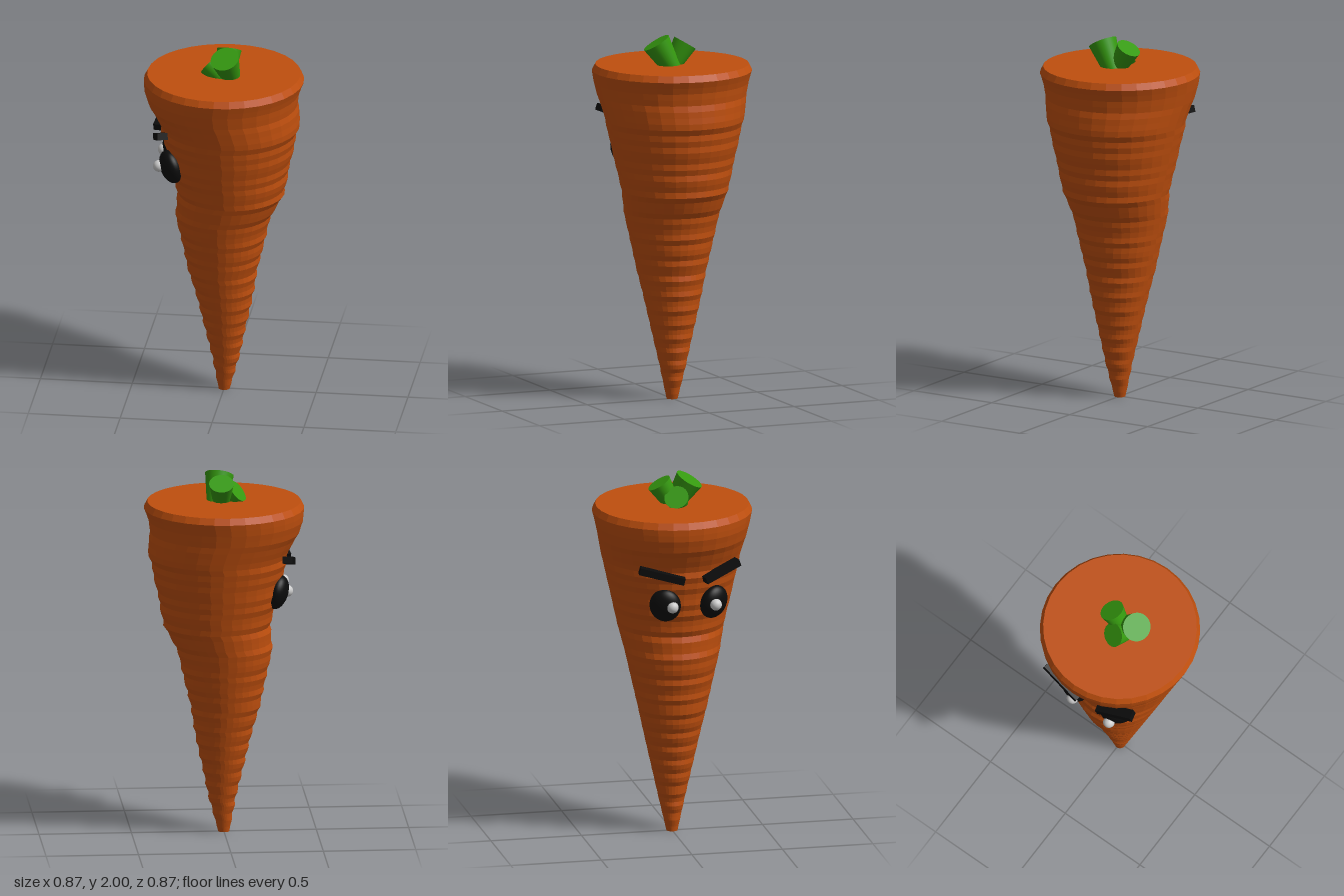
import * as THREE from 'three';

const orange = new THREE.MeshStandardMaterial({ color: 0xbf4f0e, flatShading: true });
const green = new THREE.MeshStandardMaterial({ color: 0x35990f });
const black = new THREE.MeshStandardMaterial({ color: 0x0c0c0c });
const white = new THREE.MeshStandardMaterial({ color: 0xdddddd });
const V = (x, y, z) => new THREE.Vector3(x, y, z);

// Sideways drift of the root's rings: [height, x shift]
const drift = [
  [0, 0], [0.2, 0.009], [0.36, 0.005], [0.5, 0.004], [0.6, 0], [0.705, -0.009],
  [0.785, -0.006], [0.92, -0.005], [1.0, -0.007], [1.08, 0.015], [1.145, 0.036],
  [1.24, 0.036], [1.315, 0.028], [1.395, 0.033], [1.5, 0.025], [1.545, 0.037],
  [1.56, 0.03], [1.62, 0.014], [1.66, -0.004], [1.74, -0.012], [1.8, -0.001], [1.84, -0.001],
];

function shiftAt(y) {
  const i = Math.max(1, drift.findIndex(([h]) => h >= y));
  const [y0, a] = drift[i - 1], [y1, b] = drift[i];
  const base = a + (b - a) * (y - y0) / (y1 - y0);
  // Fine ripple that fades toward the top and the tip
  const ripple = 0.005 * Math.sin(y * 78) * Math.min(1, y * 8) * Math.max(0, Math.min(1, (1.75 - y) * 2));
  return base + ripple;
}

function mesh(name, geometry, material, parent) {
  const m = new THREE.Mesh(geometry, material);
  m.name = name;
  parent.add(m);
  return m;
}

// Straight cone whose rings are shifted sideways
function rootGeometry() {
  const profile = [new THREE.Vector2(0, 0)];
  const rings = 64;
  for (let i = 0; i <= rings; i++) {
    const y = 1.8 * Math.pow(i / rings, 1.2);
    profile.push(new THREE.Vector2(0.03 + 0.403 * y / 1.8, y));
  }
  profile.push(new THREE.Vector2(0.415, 1.835), new THREE.Vector2(0, 1.835));
  const g = new THREE.LatheGeometry(profile, 32);
  const p = g.attributes.position;
  for (let i = 0; i < p.count; i++) p.setX(i, p.getX(i) + shiftAt(p.getY(i)));
  g.computeVertexNormals();
  return g;
}

// Tapered stub from a to b
function stem(a, b, ra, rb, parent) {
  const dir = b.clone().sub(a);
  const m = mesh('leafStem', new THREE.CylinderGeometry(rb, ra, dir.length(), 32), green, parent);
  m.position.copy(a).add(b).multiplyScalar(0.5);
  m.quaternion.setFromUnitVectors(V(0, 1, 0), dir.normalize());
}

// Flattened ball lying on the root, with a small highlight
function eye(name, center, glint, parent) {
  const g = new THREE.Group();
  g.name = name;
  parent.add(g);
  const ball = mesh('eyeball', new THREE.SphereGeometry(1, 32, 20), black, g);
  ball.position.copy(center);
  ball.scale.set(0.085, 0.095, 0.055);
  const out = V(center.x - 0.03, 0, center.z).normalize().setY(-0.25);
  ball.lookAt(center.clone().add(out));
  const spot = mesh('eyeHighlight', new THREE.SphereGeometry(0.032, 20, 14), white, g);
  spot.position.copy(glint);
}

// Bar from its inner to its outer end
function brow(name, inner, outer, parent) {
  const axis = outer.clone().sub(inner);
  const length = axis.length();
  axis.normalize();
  const up = V(0, 1, 0).addScaledVector(axis, -axis.y).normalize();
  const m = mesh(name, new THREE.BoxGeometry(length, 0.038, 0.055), black, parent);
  m.quaternion.setFromRotationMatrix(new THREE.Matrix4().makeBasis(axis, up, axis.clone().cross(up)));
  m.position.copy(inner).add(outer).multiplyScalar(0.5);
}

export function createModel() {
  const model = new THREE.Group();
  model.name = 'carrot';

  mesh('root', rootGeometry(), orange, model);

  // Cut leaf stems
  const stems = new THREE.Group();
  stems.name = 'leafStems';
  model.add(stems);
  stem(V(0.045, 1.80, 0.01), V(0.016, 1.957, 0.1), 0.046, 0.078, stems);
  stem(V(0.012, 1.80, 0.02), V(0.018, 1.945, -0.068), 0.04, 0.067, stems);
  stem(V(0.005, 1.815, 0.045), V(-0.075, 1.885, 0.008), 0.045, 0.066, stems);

  // Face, on the -x side
  eye('leftEye', V(-0.268, 1.345, 0.172), V(-0.333, 1.345, 0.17), model);
  eye('rightEye', V(-0.285, 1.345, -0.1), V(-0.338, 1.345, -0.07), model);
  brow('leftBrow', V(-0.345, 1.49, 0.105), V(-0.295, 1.57, 0.3), model);
  brow('rightBrow', V(-0.36, 1.495, -0.01), V(-0.325, 1.56, -0.25), model);

  return model;
}
